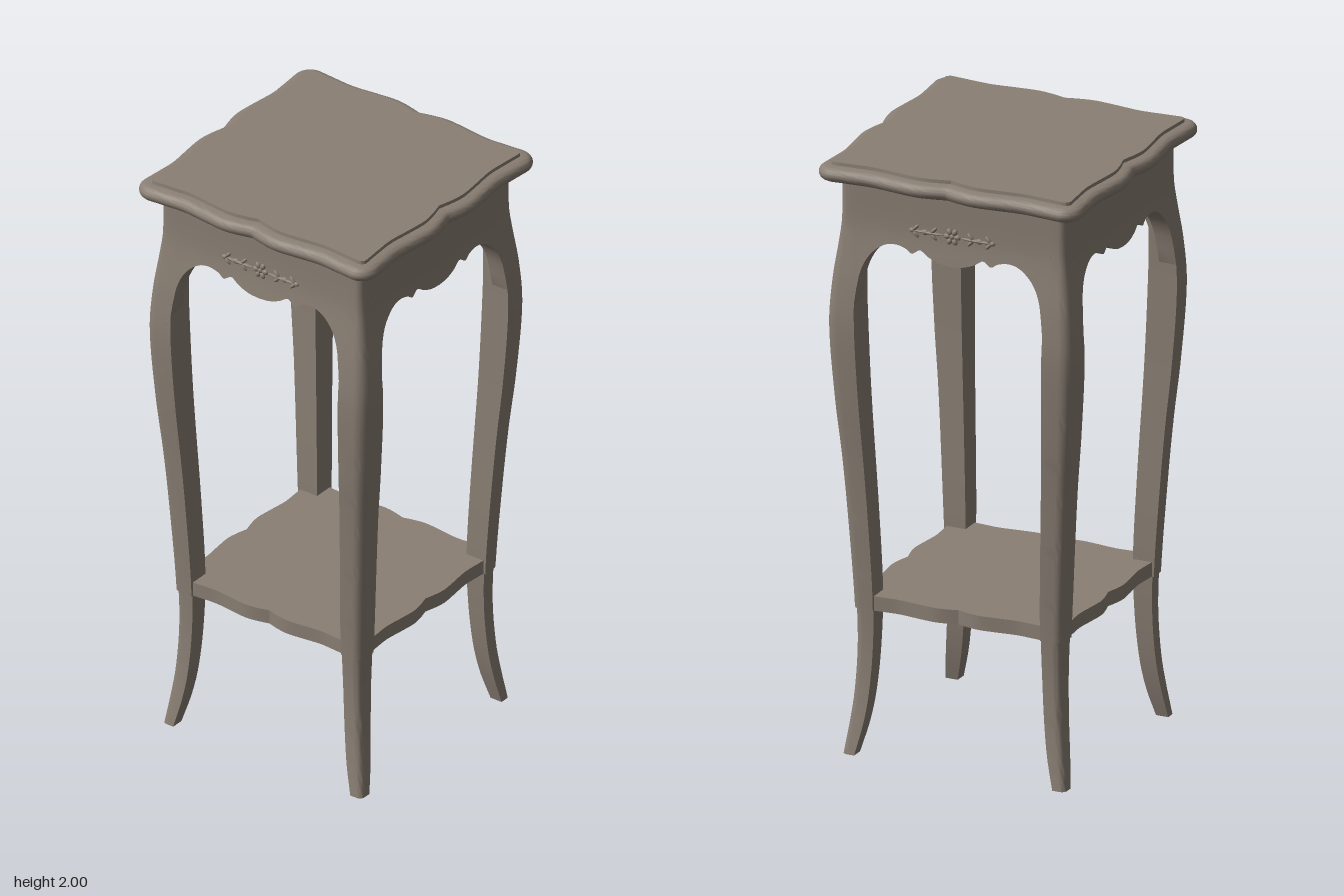
import * as THREE from 'three';
import { toCreasedNormals } from 'three/addons/utils/BufferGeometryUtils.js';

// Smooth one-dimensional curve through [position, value] knots
function curve(knots) {
  const slope = (i) => {
    const a = knots[Math.max(i - 1, 0)], b = knots[Math.min(i + 1, knots.length - 1)];
    return (b[1] - a[1]) / (b[0] - a[0]);
  };
  return (t) => {
    let i = 0;
    while (i < knots.length - 2 && t > knots[i + 1][0]) i++;
    const [t0, v0] = knots[i], [t1, v1] = knots[i + 1];
    const h = t1 - t0, u = THREE.MathUtils.clamp((t - t0) / h, 0, 1);
    const u2 = u * u, u3 = u2 * u;
    return v0 * (2 * u3 - 3 * u2 + 1) + slope(i) * h * (u3 - 2 * u2 + u)
      + v1 * (3 * u2 - 2 * u3) + slope(i + 1) * h * (u3 - u2);
  };
}

// Closed solid through a stack of equal-length rings, listed bottom to top
function loft(rings, crease) {
  const pos = [], n = rings[0].length;
  const tri = (...pts) => pts.forEach((p) => pos.push(p.x, p.y, p.z));
  const middle = (ring) => ring.reduce((s, p) => s.add(p), new THREE.Vector3()).divideScalar(n);
  const low = rings[0], high = rings[rings.length - 1];
  const lowMid = middle(low), highMid = middle(high);
  for (let k = 0; k < n; k++) {
    const m = (k + 1) % n;
    for (let j = 0; j < rings.length - 1; j++) {
      const a = rings[j], b = rings[j + 1];
      tri(a[k], a[m], b[k]);
      tri(a[m], b[m], b[k]);
    }
    tri(low[m], low[k], lowMid);
    tri(high[k], high[m], highMid);
  }
  const geo = new THREE.BufferGeometry();
  geo.setAttribute('position', new THREE.Float32BufferAttribute(pos, 3));
  return toCreasedNormals(geo, crease);
}

// Serpentine square outline, inset by d
const wave = curve([[0, 0.445], [0.05, 0.458], [0.1, 0.465], [0.17, 0.459],
  [0.26, 0.449], [0.33, 0.453], [0.4, 0.459]]);
function outline(y, d, scale = 1) {
  const side = [];
  for (let k = 0; k < 40; k++) {
    const z = 0.4 - 0.02 * k;
    side.push([wave(Math.abs(z)) - d, z]);
  }
  for (let k = 0; k < 8; k++) {
    const a = (k / 8) * Math.PI / 2, r = 0.059 - d;
    side.push([0.4 + r * Math.cos(a), -0.4 - r * Math.sin(a)]);
  }
  const ring = [];
  for (let q = 0; q < 4; q++) {
    for (const p of side) {
      ring.push(new THREE.Vector3(p[0] * scale, y, p[1] * scale));
      [p[0], p[1]] = [p[1], -p[0]];
    }
  }
  return ring;
}

// Cabriole profile: outer and inner faces of the legs by height
const outer = curve([[0, 0.395], [0.1, 0.382], [0.2, 0.371], [0.35, 0.364], [0.5, 0.367],
  [0.8, 0.384], [1, 0.398], [1.2, 0.416], [1.45, 0.43], [1.6, 0.421], [1.72, 0.405],
  [1.8, 0.396], [1.94, 0.395]]);
const inner = curve([[0, 0.347], [0.1, 0.323], [0.2, 0.308], [0.35, 0.297], [0.53, 0.293],
  [0.8, 0.302], [1.2, 0.32], [1.5, 0.329], [1.6, 0.33], [1.94, 0.33]]);

function legGeometry(y0, y1, steps, trim) {
  const rings = [];
  for (let j = 0; j <= steps; j++) {
    const y = y0 + (y1 - y0) * j / steps;
    const o = outer(y) - trim, i = inner(y), r = (o - i) * 0.4;
    const ring = [[o, i], [i, i], [i, o]];
    for (let k = 0; k <= 6; k++) {
      const a = Math.PI / 2 * (1 - k / 6);
      ring.push([o - r + r * Math.cos(a), o - r + r * Math.sin(a)]);
    }
    rings.push(ring.map(([x, z]) => new THREE.Vector3(x, y, z)));
  }
  return loft(rings, 0.6);
}

// Apron panel with scalloped lower edge, following the leg profile outward
function apronGeometry() {
  const scallop = curve([[0, 1.71], [0.04, 1.714], [0.08, 1.728], [0.11, 1.746], [0.125, 1.738],
    [0.14, 1.73], [0.16, 1.743], [0.2, 1.751], [0.24, 1.741], [0.28, 1.708], [0.305, 1.667],
    [0.32, 1.615], [0.33, 1.53], [0.345, 1.5]]);
  const geo = new THREE.BoxGeometry(0.69, 1, 1, 96, 14, 1);
  const p = geo.attributes.position;
  for (let k = 0; k < p.count; k++) {
    const x = p.getX(k);
    const y = THREE.MathUtils.lerp(scallop(Math.abs(x)), 1.945, p.getY(k) + 0.5);
    p.setXYZ(k, x, y, outer(y) - (p.getZ(k) > 0 ? 0 : 0.06));
  }
  return toCreasedNormals(geo, 0.6);
}

export function createModel() {
  const wood = new THREE.MeshStandardMaterial({ color: 0x8a7f74 });
  wood.name = 'taupe wood';
  const model = new THREE.Group();
  model.name = 'pedestalTable';
  const add = (name, geo, parent = model) => {
    const mesh = new THREE.Mesh(geo, wood);
    mesh.name = name;
    parent.add(mesh);
    return mesh;
  };

  // Table top with half-round edge and raised panel
  const rings = [];
  for (let k = 0; k <= 10; k++) {
    const a = (k / 10 - 0.5) * Math.PI * 0.94;
    rings.push(outline(1.964 + 0.024 * Math.sin(a), 0.026 * (1 - Math.cos(a))));
  }
  rings.push(outline(1.989, 0.04), outline(2, 0.041));
  add('tableTop', loft(rings, 0.45));

  // Lower shelf
  add('shelf', loft([outline(0.487, 0, 0.787), outline(0.535, 0, 0.787)], 0.35));

  // Four legs and four apron panels
  const upperLeg = legGeometry(0.487, 1.945, 48, 0);
  const lowerLeg = legGeometry(0, 0.487, 16, 0.005);
  const apron = apronGeometry();
  for (let q = 0; q < 4; q++) {
    const turn = q * Math.PI / 2;
    add('upperLeg', upperLeg).rotation.y = turn;
    add('lowerLeg', lowerLeg).rotation.y = turn;
    add('apron', apron).rotation.y = turn;
  }

  // Carved ornament on front and back
  const bead = new THREE.SphereGeometry(1, 12, 8);
  for (const turn of [0, Math.PI]) {
    const carving = new THREE.Group();
    carving.name = 'carvedOrnament';
    carving.rotation.y = turn;
    model.add(carving);
    const lobe = (name, x, y, rx, ry, angle = 0) => {
      const mesh = add(name, bead, carving);
      mesh.position.set(x, 1.808 + y, 0.396);
      mesh.scale.set(rx, ry, 0.008);
      mesh.rotation.z = angle;
    };
    lobe('rosetteCentre', 0, 0, 0.01, 0.01);
    for (let k = 0; k < 6; k++) {
      const a = k * Math.PI / 3;
      lobe('rosettePetal', 0.018 * Math.cos(a), 0.018 * Math.sin(a), 0.012, 0.009, a);
    }
    for (const s of [-1, 1]) {
      lobe('stem', s * 0.085, 0, 0.06, 0.005);
      for (const x of [0.065, 0.128]) {
        for (const v of [-1, 1]) lobe('leaf', s * x, v * 0.01, 0.016, 0.006, -s * v * 0.8);
      }
      lobe('leafTip', s * 0.095, 0, 0.013, 0.009);
      lobe('leafTip', s * 0.14, 0, 0.011, 0.008);
    }
  }
  return model;
}
